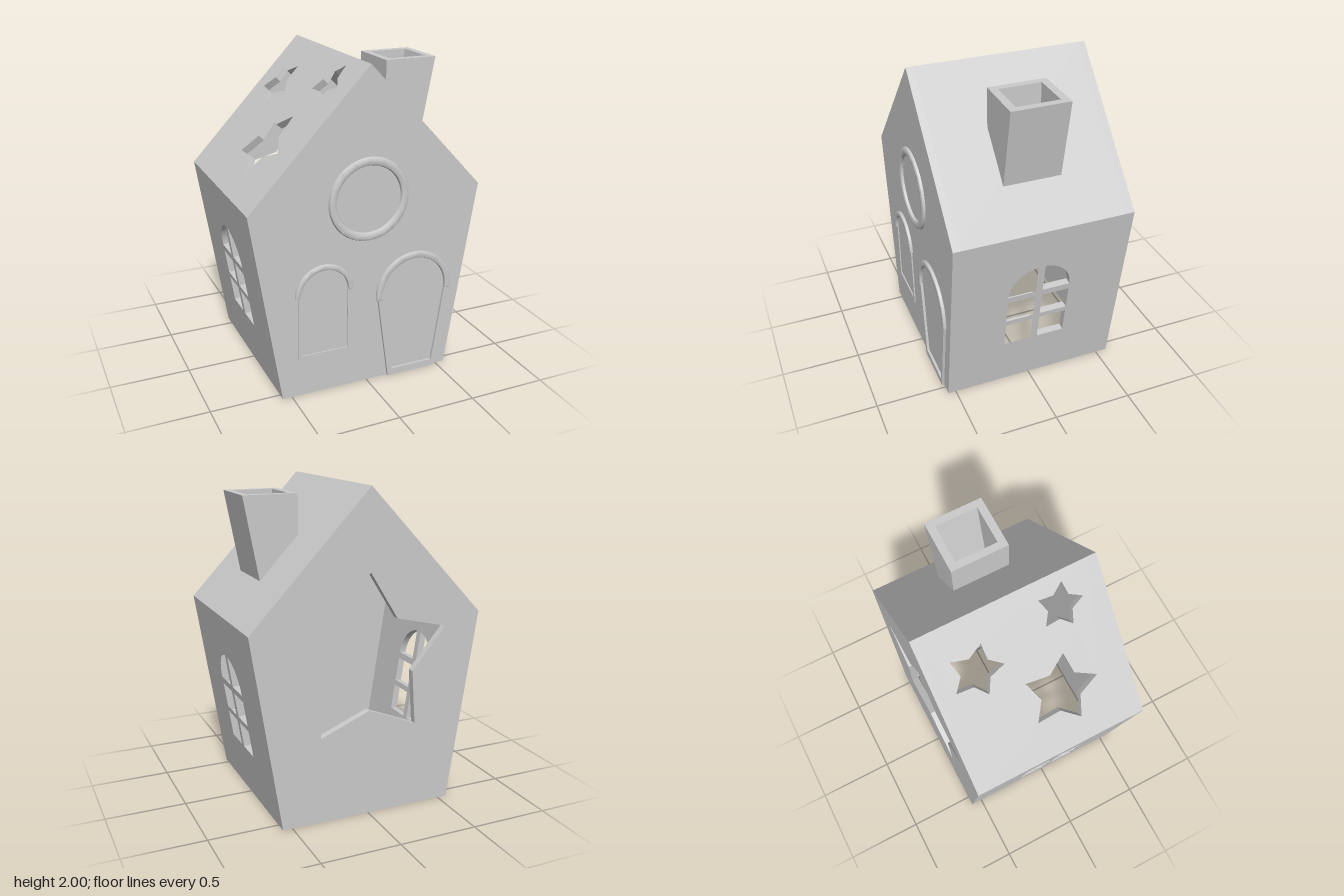
import * as THREE from 'three';
import { toCreasedNormals } from 'three/addons/utils/BufferGeometryUtils.js';

const T = 0.045, FRONT = 0.55, BACK = -0.575;
const EAVE = [0.745, 1.21], BASE = [0.56, 0], RIDGE = [0, 2];
const material = new THREE.MeshStandardMaterial({ color: 0xcccccc });

const toVectors = (pts) => pts.map(([x, y]) => new THREE.Vector2(x, y));

// Points along an arc
function arc(cx, cy, r, a0, a1, n = 24) {
  return Array.from({ length: n + 1 }, (_, i) => {
    const a = a0 + ((a1 - a0) * i) / n;
    return [cx + r * Math.cos(a), cy + r * Math.sin(a)];
  });
}

// Five-pointed star outline
function star(cx, cy, r, angle, ratio = 0.55) {
  return Array.from({ length: 10 }, (_, i) => {
    const a = angle + (i * Math.PI) / 5, k = i % 2 ? r * ratio : r;
    return [cx + k * Math.cos(a), cy + k * Math.sin(a)];
  });
}

// Flat plate with holes, from z = 0 to z = depth
function plate(outline, holes, depth, bevel = 0) {
  const shape = new THREE.Shape(toVectors(outline));
  holes.forEach((h) => shape.holes.push(new THREE.Path(toVectors(h))));
  return new THREE.ExtrudeGeometry(shape, {
    depth: depth - 2 * bevel, bevelEnabled: bevel > 0, bevelSegments: 2,
    bevelThickness: bevel, bevelSize: bevel, bevelOffset: -bevel,
  }).translate(0, 0, bevel);
}

function add(group, name, geometry) {
  const mesh = new THREE.Mesh(toCreasedNormals(geometry, 0.5), material);
  mesh.name = name;
  group.add(mesh);
  return mesh;
}

// Wall or roof slab between profile points a (low) and b (high), mitred at both ends.
// Holes are given as (z, distance from a).
function slab(group, name, side, a, b, mitreLow, mitreHigh, holes = []) {
  const d = new THREE.Vector3(side * (b[0] - a[0]), b[1] - a[1], 0);
  const length = d.length();
  d.normalize();
  const u = new THREE.Vector3(0, 0, -side);
  const n = new THREE.Vector3().crossVectors(u, d);
  const z0 = BACK + T, z1 = FRONT - T;
  const flip = ([z, v]) => [-side * z, v];
  const outline = [[z0, 0], [z1, 0], [z1, length], [z0, length]].map(flip);
  const geo = plate(outline, holes.map((h) => h.map(flip)), T);
  const p = geo.attributes.position;
  for (let i = 0; i < p.count; i++) {
    if (p.getZ(i) > T / 2) continue;
    if (p.getY(i) < 1e-4) p.setY(i, mitreLow);
    else if (p.getY(i) > length - 1e-4) p.setY(i, length - mitreHigh);
  }
  geo.translate(0, 0, -T);
  const m = new THREE.Matrix4().makeBasis(u, d, n).setPosition(side * a[0], a[1], 0);
  add(group, name, geo.applyMatrix4(m));
}

// Six panes of the arched side window
function sideWindowPanes() {
  const c = -0.01, r = 0.2, b = 0.0225, k = 1.0116;
  const panes = [];
  for (const s of [-1, 1]) {
    for (const [y0, y1] of [[0.335, 0.505], [0.54, 0.7]]) {
      panes.push([[b, y0], [r, y0], [r, y1], [b, y1]].map(([x, y]) => [c + s * x, y * k]));
    }
    const top = [[b, 0.742], ...arc(0, 0.742, r, 0, Math.acos(b / r), 16)];
    panes.push(top.map(([x, y]) => [c + s * x, y * k]));
  }
  return panes;
}

// Window bar inside a front opening
function bar(group, x0, x1, y0, y1) {
  const geo = new THREE.BoxGeometry(x1 - x0, y1 - y0, 0.035);
  add(group, 'windowBar', geo.translate((x0 + x1) / 2, (y0 + y1) / 2, FRONT - 0.0245));
}

// Raised arch moulding over a front opening
function archTrim(group, name, cx, cy, rIn, rOut, drop) {
  const outline = [
    [cx + rOut, cy - drop], ...arc(cx, cy, rOut, 0, Math.PI), [cx - rOut, cy - drop],
    [cx - rIn, cy - drop], ...arc(cx, cy, rIn, Math.PI, 0), [cx + rIn, cy - drop],
  ];
  add(group, name, plate(outline, [], 0.04, 0.009).translate(0, 0, FRONT - 0.02));
}

export function createModel() {
  const house = new THREE.Group();
  house.name = 'house';
  const gable = [[-BASE[0], 0], BASE, EAVE, RIDGE, [-EAVE[0], EAVE[1]]];

  // Front wall with round window, arched window and door openings
  const roundOpening = arc(0, 1.21, 0.205, 0, Math.PI * 2 * (47 / 48), 47);
  const windowOpening = [[-0.435, 0.27], [-0.135, 0.27], ...arc(-0.285, 0.66, 0.15, 0, Math.PI)];
  const doorOpening = [[0.172, 0.045], [0.458, 0.045], [0.525, 0.51], ...arc(0.315, 0.568, 0.215, 0, Math.PI), [0.108, 0.51]];
  const front = new THREE.Group();
  front.name = 'front';
  house.add(front);
  add(front, 'frontWall', plate(gable, [roundOpening, windowOpening, doorOpening], T).translate(0, 0, FRONT - T));

  // Round window
  const ring = plate(arc(0, 1.21, 0.258, 0, Math.PI * 2 * (63 / 64), 63),
    [arc(0, 1.21, 0.206, 0, Math.PI * 2 * (63 / 64), 63)], 0.05, 0.017);
  add(front, 'roundWindowRing', ring.translate(0, 0, FRONT - 0.03));
  bar(front, -0.02, 0.02, 0.995, 1.425);
  bar(front, -0.215, 0.215, 1.19, 1.23);

  // Arched window
  archTrim(front, 'windowArch', -0.285, 0.66, 0.153, 0.187, 0);
  const windowFrame = [[-0.46, 0.245], [-0.108, 0.245], [-0.12, 0.66], [-0.135, 0.66],
    [-0.135, 0.27], [-0.435, 0.27], [-0.435, 0.66], [-0.45, 0.66]];
  add(front, 'windowFrame', plate(windowFrame, [], 0.018).translate(0, 0, FRONT - 0.01));
  bar(front, -0.305, -0.265, 0.26, 0.82);
  bar(front, -0.445, -0.125, 0.42, 0.46);
  bar(front, -0.445, -0.125, 0.61, 0.65);

  // Tapered door
  archTrim(front, 'doorArch', 0.315, 0.568, 0.217, 0.258, 0.026);
  const doorFrame = [[0.145, 0], [0.475, 0], [0.565, 0.55], [0.53, 0.55], [0.525, 0.51],
    [0.458, 0.045], [0.172, 0.045], [0.108, 0.51], [0.1, 0.55], [0.067, 0.55]];
  add(front, 'doorFrame', plate(doorFrame, [], 0.03).translate(0, 0, FRONT - 0.014));
  bar(front, 0.295, 0.34, 0.03, 0.795);
  bar(front, 0.13, 0.5, 0.225, 0.265);
  bar(front, 0.095, 0.535, 0.505, 0.55);

  // Back wall with large star
  add(house, 'backWall', plate(gable, [star(0, 0.974, 0.536, Math.PI / 2, 0.57)], T).translate(0, 0, BACK));

  // Side walls and roof; the right slope (-x) carries three stars
  const slope = Math.hypot(EAVE[0], RIDGE[1] - EAVE[1]);
  const roofStars = [[0.338, -0.306, 0.166, 7], [0.694, 0.109, 0.234, 15.5], [0.198, 0.266, 0.141, 16]]
    .map(([s, z, r, deg]) => star(z, slope - s, r, -Math.PI / 2 - THREE.MathUtils.degToRad(-deg)));
  for (const side of [1, -1]) {
    const label = side > 0 ? 'left' : 'right';
    slab(house, label + 'Wall', side, BASE, EAVE, -0.0069, 0.022, sideWindowPanes());
    slab(house, label + 'Roof', side, EAVE, RIDGE, 0.022, 0.0477, side > 0 ? [] : roofStars);
  }

  // Hollow chimney with a slanted outer side
  const chimney = new THREE.Group();
  chimney.name = 'chimney';
  house.add(chimney);
  const top = 1.935, z0 = -0.19, z1 = 0.17, c = 0.048;
  const profile = [[0.29, 1.67], [0.533, 1.415], [0.63, top], [0.29, top]];
  for (const z of [z0, z1 - c]) add(chimney, 'chimneyWall', plate(profile, [], c).translate(0, 0, z));
  const inner = [[[0.29, 1.67], [0.335, 1.623], [0.335, top], [0.29, top]],
    [[0.488, 1.463], [0.533, 1.415], [0.63, top], [0.585, top]]];
  for (const p of inner) add(chimney, 'chimneyWall', plate(p, [], z1 - z0 - 2 * c).translate(0, 0, z0 + c));

  return house;
}
